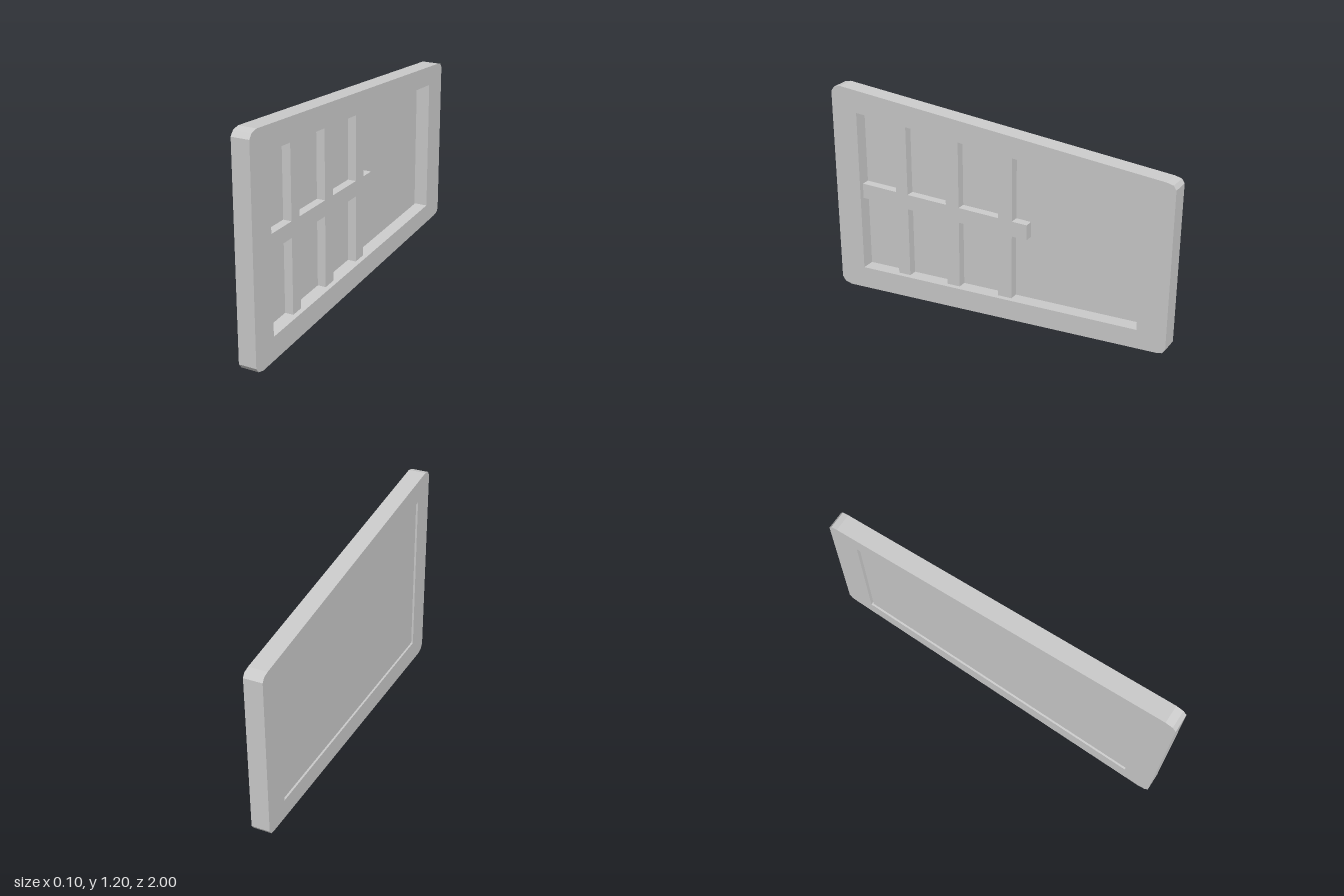
import * as THREE from 'three';

const MID = 0.6; // the whole door is mirrored about this height

// Closed outline from its upper half, given as [z, y] points running from +z to -z.
function mirrored(upper) {
  const lower = upper.map(([z, y]) => [z, 2 * MID - y]).reverse();
  return [...upper, ...lower];
}

// Slab with a [z, y] outline, reaching from x0 to x1; a hole runs the opposite way round.
function slab(name, outline, x0, x1, hole) {
  const toVectors = (pts) => pts.map(([z, y]) => new THREE.Vector2(-z, y));
  const shape = new THREE.Shape(toVectors(outline));
  if (hole) shape.holes.push(new THREE.Path(toVectors(hole).reverse()));
  const geometry = new THREE.ExtrudeGeometry(shape, { depth: x1 - x0, bevelEnabled: false });
  geometry.rotateY(Math.PI / 2).translate(x0, 0, 0);
  const material = new THREE.MeshStandardMaterial({ color: 0xcccccc, flatShading: true });
  const mesh = new THREE.Mesh(geometry, material);
  mesh.name = name;
  return mesh;
}

export function createModel() {
  const group = new THREE.Group();
  group.name = 'taperedWindow';

  // Tapered opening: tall towards +z, lower towards -z
  const front = 0.842, back = -0.84;
  const openingTop = (z) => THREE.MathUtils.mapLinear(z, front, back, 1.066, 0.966);
  const openingTo = (end) => mirrored([[front, openingTop(front)], [end, openingTop(end)]]);

  // Outer frame with softened corners
  const outer = mirrored([
    [1, 1.164], [0.98, 1.19], [0.94, 1.2],
    [-0.95, 1.065], [-0.985, 1.057], [-1, 1.035],
  ]);
  group.add(slab('frame', outer, -0.049, 0.049, openingTo(back)));

  // Thin panel, leaving a narrow slit at the low end
  group.add(slab('panel', openingTo(-0.832), -0.038, -0.025));

  // Grille: one rail crossed by three upright bars, as a single outline
  const railTop = 0.643;
  const bars = [[0.62, 0.545], [0.3, 0.22], [-0.022, -0.104]];
  const grille = [[front, railTop]];
  for (const [a, b] of bars) {
    grille.push([a, railTop], [a, openingTop(a)], [b, openingTop(b)], [b, railTop]);
  }
  grille.push([-0.191, railTop]);
  group.add(slab('grille', mirrored(grille), -0.025, 0.022));

  return group;
}
